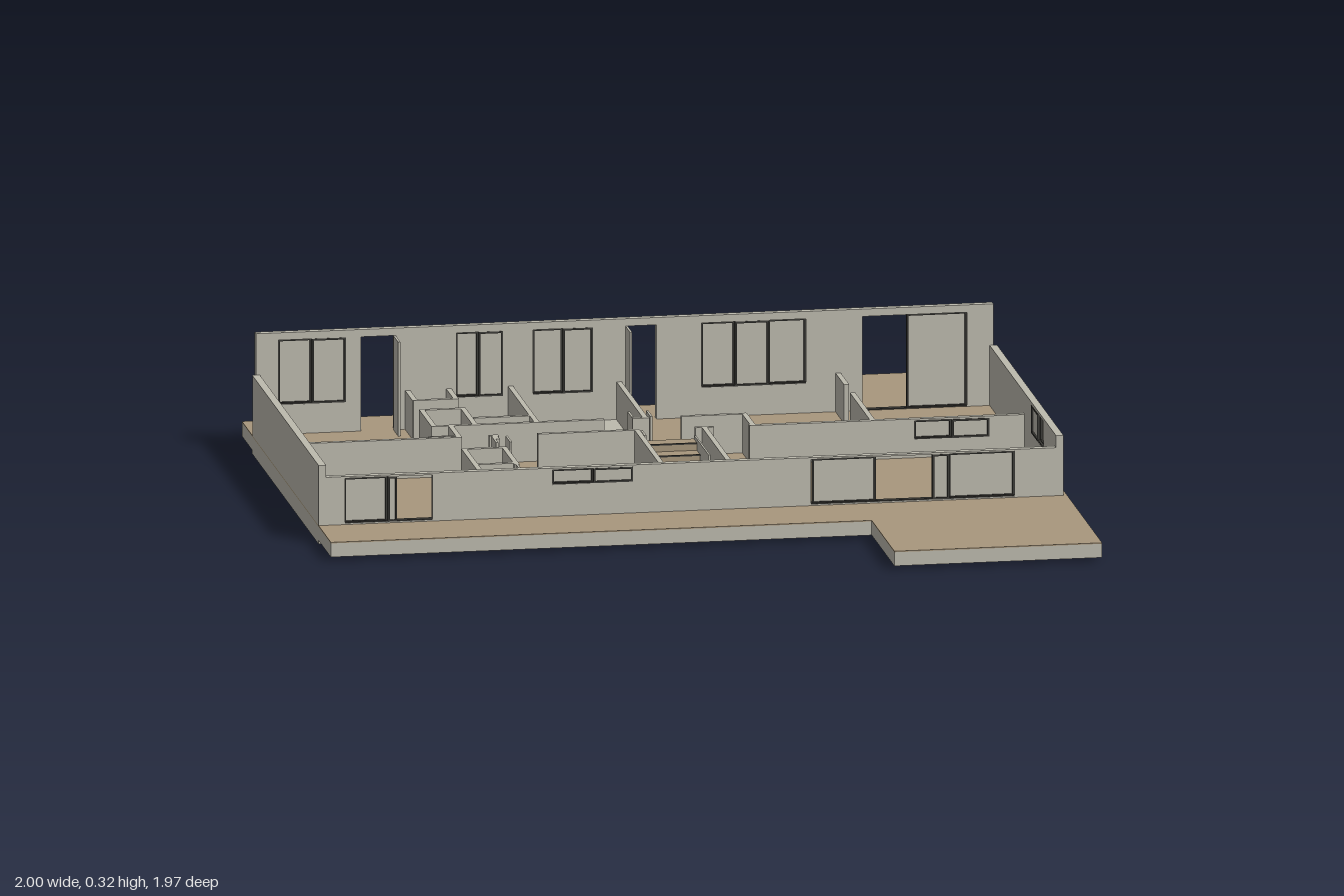
import * as THREE from 'three';

const mat = (name, color) => {
  const m = new THREE.MeshStandardMaterial({ color });
  m.name = name;
  return m;
};

export function createModel() {
  const model = new THREE.Group();
  const plaster = mat('plaster', 0xbdbaae);
  const wood = mat('wood floor', 0xa8977d);
  const frameDark = mat('dark frame', 0x3b3a36);
  const FLOOR = 0.05, LOW = 0.155;

  // box from min/max extents
  function box(name, material, x0, x1, y0, y1, z0, z1, parent = model) {
    const mesh = new THREE.Mesh(new THREE.BoxGeometry(x1 - x0, y1 - y0, z1 - z0), material);
    mesh.position.set((x0 + x1) / 2, (y0 + y1) / 2, (z0 + z1) / 2);
    mesh.name = name;
    parent.add(mesh);
  }

  // box running along axis 'x' or 'z', centred on pos across it
  function run(name, material, axis, pos, a0, a1, y0, y1, thick, parent) {
    const p0 = pos - thick / 2, p1 = pos + thick / 2;
    if (axis === 'x') box(name, material, a0, a1, y0, y1, p0, p1, parent);
    else box(name, material, p0, p1, y0, y1, a0, a1, parent);
  }

  // wall with openings {a, b, y0, y1, panes: [[a, b], ...]}
  function wall(name, axis, pos, a0, a1, top, openings = [], thick = 0.02) {
    const group = new THREE.Group();
    group.name = name;
    model.add(group);
    let at = a0;
    for (const o of openings) {
      run('wallSection', plaster, axis, pos, at, o.a, FLOOR, top, thick, group);
      if (o.y0 > FLOOR) run('sill', plaster, axis, pos, o.a, o.b, FLOOR, o.y0, thick, group);
      if (o.y1 < top) run('lintel', plaster, axis, pos, o.a, o.b, o.y1, top, thick, group);
      (o.panes || []).forEach(([p, q], i) => {
        const c = pos + (i % 2 ? 0.004 : -0.004), t = 0.005, d = 0.014;
        run('windowPane', plaster, axis, c, p + t, q - t, o.y0 + t, o.y1 - t, 0.004, group);
        for (const e of [p, q - t]) run('windowStile', frameDark, axis, c, e, e + t, o.y0, o.y1, d, group);
        for (const y of [o.y0, o.y1 - t]) run('windowRail', frameDark, axis, c, p + t, q - t, y, y + t, d, group);
      });
      if (o.panes) run('windowTrack', frameDark, axis, pos, o.a, o.b, o.y0, o.y0 + 0.003, 0.018, group);
      at = o.b;
    }
    run('wallSection', plaster, axis, pos, at, a1, FLOOR, top, thick, group);
  }

  // flat stepped outline extruded upwards
  function slab(name, material, pts, y0, y1) {
    const shape = new THREE.Shape(pts.map(([x, z]) => new THREE.Vector2(x, -z)));
    const geo = new THREE.ExtrudeGeometry(shape, { depth: y1 - y0, bevelEnabled: false });
    geo.rotateX(-Math.PI / 2);
    const mesh = new THREE.Mesh(geo, material);
    mesh.position.y = y0;
    mesh.name = name;
    model.add(mesh);
  }

  // terrace slab, foundation and wooden floor
  const outline = [[-1, 0.63], [0.445, 0.63], [0.445, 0.98], [1, 0.98], [1, -0.985],
    [0.485, -0.985], [0.485, -0.805], [0.3, -0.805], [0.3, -0.745], [-1, -0.745]];
  slab('terraceSlab', plaster, outline, 0.01, 0.047);
  slab('woodFloor', wood, outline, 0.047, FLOOR);
  box('foundation', plaster, -1, 1, 0, 0.01, -0.59, 0.44);

  // pale tiled floors and door thresholds: x0, x1, z0, z1
  for (const [x0, x1, z0, z1] of [
    [-0.475, -0.31, -0.59, -0.255], [-0.59, -0.475, -0.475, -0.365], [-0.31, -0.02, -0.59, -0.18],
    [-0.45, -0.33, -0.06, -0.04], [-0.06, 0.09, -0.06, -0.04], [0.14, 0.24, -0.06, -0.04],
    [-0.13, 0.08, -0.19, -0.17], [0.555, 0.575, -0.455, -0.36],
  ]) box('paleFloor', plaster, x0, x1, FLOOR - 0.002, FLOOR + 0.003, z0, z1);

  // back wall, the tallest
  const SILL = 0.13, HEAD = 0.305;
  const pair = (a, m, b) => [[a, m], [m, b]];
  wall('backWall', 'x', -0.595, -0.99, 0.98, 0.325, [
    { a: -0.93, b: -0.75, y0: SILL, y1: HEAD, panes: pair(-0.93, -0.84, -0.75) },
    { a: -0.71, b: -0.62, y0: FLOOR, y1: HEAD },
    { a: -0.455, b: -0.33, y0: SILL, y1: HEAD, panes: pair(-0.455, -0.395, -0.33) },
    { a: -0.25, b: -0.09, y0: SILL, y1: HEAD, panes: pair(-0.25, -0.17, -0.09) },
    { a: 0, b: 0.08, y0: FLOOR, y1: HEAD },
    { a: 0.2, b: 0.48, y0: SILL, y1: HEAD, panes: [[0.2, 0.29], [0.29, 0.38], [0.38, 0.48]] },
    { a: 0.63, b: 0.91, y0: FLOOR, y1: HEAD, panes: [[0.75, 0.91]] },
  ]);

  // front wall, cut low
  wall('frontWall', 'x', 0.43, -0.99, 0.98, 0.18, [
    { a: -0.93, b: -0.695, y0: 0.053, y1: 0.175, panes: pair(-0.93, -0.815, -0.79) },
    { a: -0.375, b: -0.16, y0: 0.135, y1: 0.175, panes: pair(-0.375, -0.265, -0.16) },
    { a: 0.315, b: 0.86, y0: 0.053, y1: 0.175, panes: [[0.32, 0.49], [0.64, 0.685], [0.685, 0.86]] },
  ]);

  // side walls
  wall('rightEndWall', 'z', -0.99, -0.585, 0.44, 0.213);
  wall('leftEndWall', 'z', 0.98, -0.585, 0.44, 0.213, [
    { a: 0.06, b: 0.25, y0: 0.13, y1: 0.205, panes: pair(0.06, 0.155, 0.25) },
  ]);

  // low partitions along x: z, x0, x1
  for (const [z, a, b] of [
    [-0.05, -0.98, -0.535], [-0.05, -0.46, -0.435], [-0.05, -0.33, -0.06], [-0.05, 0.09, 0.14],
    [-0.18, -0.59, -0.13], [-0.18, -0.055, -0.01], [-0.18, 0.075, 0.25],
    [-0.475, -0.59, -0.47], [-0.365, -0.59, -0.47], [-0.255, -0.475, -0.31],
    [0.085, -0.555, -0.435], [0.26, -0.555, -0.435],
  ]) wall('partition', 'x', z, a, b, LOW, [], 0.014);
  wall('livingPartition', 'x', -0.05, 0.235, 0.97, LOW, [
    { a: 0.675, b: 0.875, y0: 0.1, y1: 0.15, panes: pair(0.675, 0.775, 0.875) },
  ], 0.016);

  // low partitions along z: x, z0, z1
  for (const [x, a, b] of [
    [-0.585, -0.585, -0.47], [-0.585, -0.37, -0.175], [-0.475, -0.585, -0.47], [-0.475, -0.37, -0.18],
    [-0.31, -0.585, -0.18], [-0.02, -0.585, -0.18], [0.245, -0.185, -0.045], [-0.54, -0.18, -0.045],
    [0.565, -0.585, -0.455], [0.565, -0.36, -0.045],
    [-0.445, -0.05, -0.01], [-0.55, 0.08, 0.425], [-0.442, 0.08, 0.28],
    [-0.065, -0.05, 0.425], [0.115, -0.05, 0.425],
  ]) wall('partition', 'z', x, a, b, LOW, [], 0.014);

  // open door leaves: axis, position, start, end, top
  for (const [axis, p, a, b, top] of [
    ['z', -0.62, -0.585, -0.51, 0.305], ['z', 0, -0.585, -0.515, 0.305],
    ['x', -0.066, -0.62, -0.54, LOW], ['z', -0.452, -0.04, 0.03, LOW], ['z', -0.415, -0.04, 0.03, LOW],
    ['z', -0.052, -0.255, -0.19, LOW], ['z', -0.002, -0.255, -0.19, LOW],
    ['z', -0.054, -0.04, 0.02, LOW], ['z', -0.442, 0.28, 0.42, LOW],
  ]) run('doorLeaf', plaster, axis, p, a, b, FLOOR, top, 0.006);

  // stair flight with dark nosings and handrail
  for (let i = 0; i < 4; i++) {
    const z1 = 0.17 - i * 0.049, top = FLOOR + 0.02 * (i + 1);
    box('stairStep', wood, -0.045, 0.085, FLOOR, top, z1 - 0.049, z1);
    box('stairNosing', frameDark, -0.045, 0.085, top - 0.003, top + 0.001, z1 - 0.002, z1 + 0.002);
  }
  box('stairRail', plaster, 0.083, 0.088, FLOOR, 0.14, -0.02, 0.2);

  return model;
}
